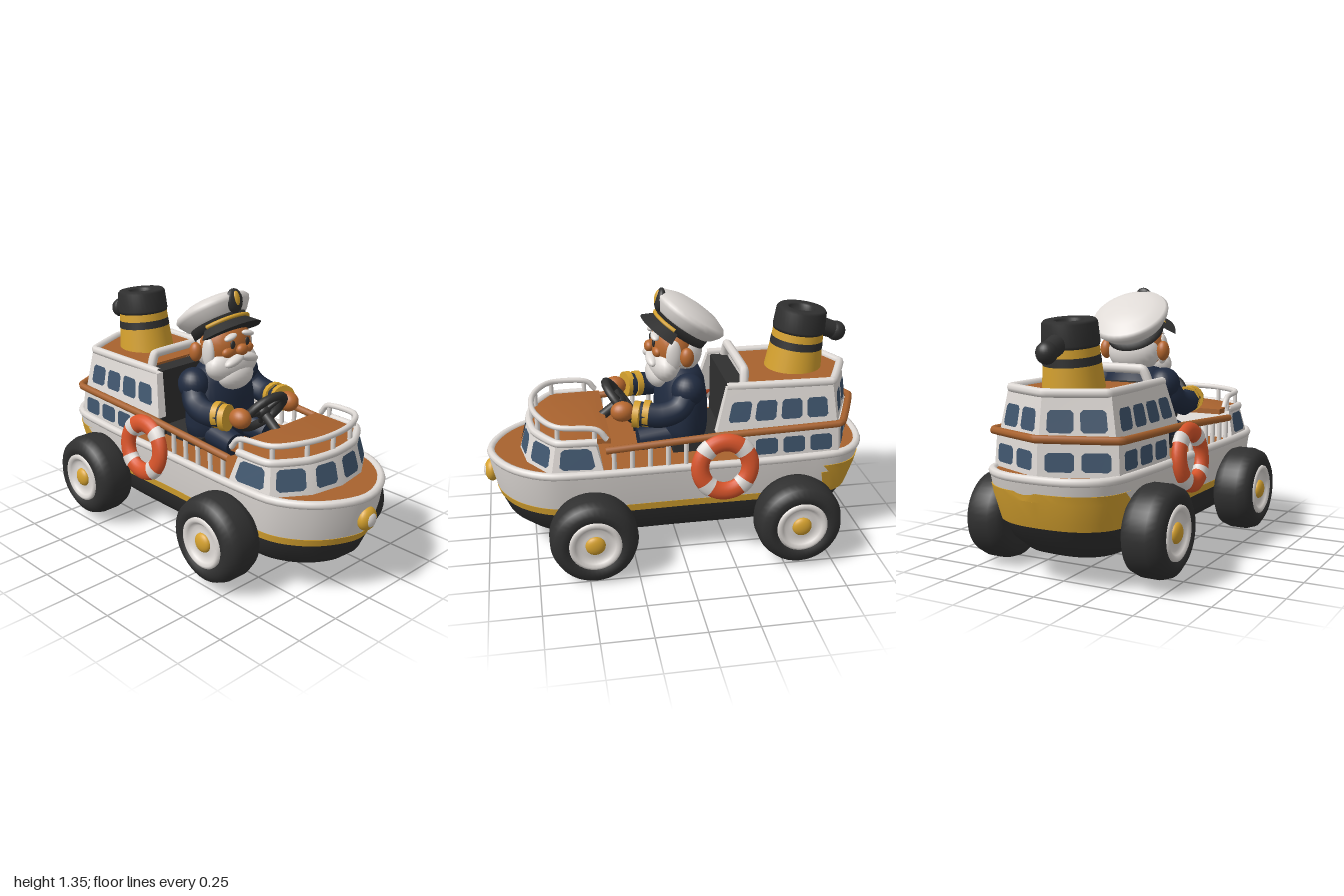
import * as THREE from 'three';
import { toCreasedNormals } from 'three/addons/utils/BufferGeometryUtils.js';

const mat = (name, color, side = THREE.FrontSide) => {
  const m = new THREE.MeshStandardMaterial({ color, side });
  m.name = name;
  return m;
};
const white = mat('white paint', 0xdfdad6), black = mat('black rubber', 0x303030), gold = mat('gold', 0xd6a22f);
const wood = mat('wood', 0xa8622e), navy = mat('navy cloth', 0x202b40), skin = mat('skin', 0xb9692f);
const orange = mat('orange', 0xd9552b), glass = mat('window blue', 0x40566e, THREE.DoubleSide);
const V = (x, y, z) => new THREE.Vector3(x, y, z);

function add(parent, name, geo, material, x = 0, y = 0, z = 0) {
  const m = new THREE.Mesh(geo, material);
  m.name = name;
  m.position.set(x, y, z);
  parent.add(m);
  return m;
}
function ball(parent, name, material, p, s) {
  const m = add(parent, name, new THREE.SphereGeometry(1, 24, 16), material, ...p);
  m.scale.set(...s);
  return m;
}
const lathe = (pts, seg = 36) => new THREE.LatheGeometry(pts.map(p => new THREE.Vector2(...p)), seg);
function rod(parent, name, material, a, b, r, r2 = r) {
  const d = b.clone().sub(a);
  const m = add(parent, name, new THREE.CylinderGeometry(r2, r, d.length(), 16), material);
  m.position.copy(a).addScaledVector(d, 0.5);
  m.quaternion.setFromUnitVectors(V(0, 1, 0), d.normalize());
  return m;
}
function tube(parent, name, material, pts, r, closed = false, tension = 0.5) {
  const curve = new THREE.CatmullRomCurve3(pts, closed, 'catmullrom', tension);
  return add(parent, name, new THREE.TubeGeometry(curve, 96, r, 8, closed), material);
}
// Full plan outline [x, z] from its +z half
const mirror = half => half.concat(half.filter(p => p[1] !== 0).reverse().map(([x, z]) => [x, -z]));
const ring = (plan, y) => plan.map(([x, z]) => V(x, y, z));

// Closed skin through matching horizontal rings
function loft(rings, crease = 0.5) {
  const n = rings[0].length, pos = [], idx = [];
  rings.forEach(r => r.forEach(p => pos.push(p.x, p.y, p.z)));
  for (let k = 0; k < rings.length - 1; k++)
    for (let i = 0; i < n; i++) {
      const a = k * n + i, b = k * n + (i + 1) % n;
      idx.push(a, b, b + n, a, b + n, a + n);
    }
  const cap = r => THREE.ShapeUtils.triangulateShape(r.map(p => new THREE.Vector2(p.x, -p.z)), []);
  const top = (rings.length - 1) * n;
  cap(rings[0]).forEach(([a, b, c]) => idx.push(a, c, b));
  cap(rings[rings.length - 1]).forEach(([a, b, c]) => idx.push(top + a, top + b, top + c));
  const g = new THREE.BufferGeometry();
  g.setAttribute('position', new THREE.Float32BufferAttribute(pos, 3));
  g.setIndex(idx);
  return toCreasedNormals(g, crease);
}
// Evenly spaced window panes on each wall between two rings
function windows(parent, low, high, counts, v0, v1) {
  counts.forEach((count, e) => {
    const a = low[e], b = low[(e + 1) % low.length], c = high[e], d = high[(e + 1) % low.length];
    const out = b.clone().sub(a).cross(c.clone().sub(a)).normalize().multiplyScalar(0.006);
    const at = (u, v) => a.clone().lerp(b, u).lerp(c.clone().lerp(d, u), v).add(out);
    for (let k = 0; k < count; k++) {
      const s = 0.9 / count, u0 = 0.05 + s * (k + 0.1), u1 = 0.05 + s * (k + 0.9);
      const du = (u1 - u0) * 0.12, dv = (v1 - v0) * 0.14;
      const p = [[u0 + du, v0], [u1 - du, v0], [u1, v0 + dv], [u1, v1 - dv],
        [u1 - du, v1], [u0 + du, v1], [u0, v1 - dv], [u0, v0 + dv]].map(q => at(...q));
      const g = new THREE.BufferGeometry().setFromPoints(p);
      g.setIndex([0, 1, 2, 0, 2, 3, 0, 3, 4, 0, 4, 5, 0, 5, 6, 0, 6, 7]);
      g.computeVertexNormals();
      add(parent, 'window', g, glass);
    }
  });
}

function buildHull(g) {
  const half = [[-1, 0], [-0.97, 0.2], [-0.87, 0.32], [-0.6, 0.36], [0, 0.37], [0.5, 0.375],
    [0.7, 0.355], [0.85, 0.26], [0.94, 0.13], [0.975, 0]];
  const curve = new THREE.CatmullRomCurve3(ring(mirror(half), 0), true);
  const plan = curve.getPoints(120).slice(0, -1);
  const level = (y, front, back, sz, grow = 1) =>
    plan.map(p => V(p.x * (p.x > 0 ? front / 0.975 : back) * grow, y, p.z * sz * grow));
  const keel = [[0.135, 0.77, 0.77, 0.62], [0.15, 0.81, 0.81, 0.7], [0.21, 0.88, 0.875, 0.84], [0.3, 0.92, 0.93, 0.91]];
  const stripe = [[0.3, 0.922, 0.932, 0.915], [0.338, 0.935, 0.945, 0.93]];
  const side = [[0.338, 0.932, 0.945, 0.925], [0.43, 0.955, 0.975, 0.97], [0.53, 0.97, 1, 1]];
  add(g, 'lower hull', loft(keel.map(l => level(...l))), black);
  add(g, 'hull stripe', loft(stripe.map(l => level(...l))), gold);
  add(g, 'upper hull', loft(side.map(l => level(...l))), white);
  const stern = [[0.3, 0.92, 0.932, 0.92], [0.338, 0.93, 0.946, 0.932], [0.43, 0.95, 0.975, 0.972], [0.47, 0.96, 0.984, 0.984]];
  add(g, 'stern panel', loft(stern.map(l => level(...l, 1.006).filter(p => p.x < -0.72))), gold);
  add(g, 'deck', loft([level(0.52, 0.95, 0.97, 0.96), level(0.537, 0.95, 0.97, 0.96)]), wood);
  tube(g, 'gunwale', white, level(0.53, 0.955, 0.985, 0.97), 0.021, true);
  // Bow lamp
  ball(g, 'lamp rim', gold, [0.957, 0.42, 0], [0.038, 0.06, 0.058]);
  ball(g, 'lamp lens', white, [0.972, 0.42, 0], [0.028, 0.042, 0.04]);
}

function buildCabins(g) {
  // Lower and upper rear deckhouse; the upper one has a niche for the seat
  const low = mirror([[-0.96, 0], [-0.81, 0.335], [-0.33, 0.345]]);
  const l0 = ring(low, 0.53), l1 = ring(low.map(([x, z]) => [x * 0.99, z * 0.97]), 0.69);
  add(g, 'lower deckhouse', loft([l0, l1]), white);
  windows(g, l0, l1, [2, 3, 0, 3, 2], 0.2, 0.74);
  const u0 = ring(mirror([[-0.945, 0], [-0.8, 0.315], [-0.17, 0.315], [-0.17, 0.265], [-0.35, 0.265]]), 0.68);
  const u1 = ring(mirror([[-0.91, 0], [-0.775, 0.275], [-0.23, 0.27], [-0.23, 0.23], [-0.35, 0.23]]), 0.9);
  add(g, 'upper deckhouse', loft([u0, u1]), white);
  windows(g, u0, u1, [2, 4, 0, 0, 0, 0, 0, 4, 2], 0.24, 0.7);
  const roof = mirror([[-0.9, 0], [-0.77, 0.26], [-0.35, 0.25]]);
  add(g, 'rear roof', loft([ring(roof, 0.885), ring(roof, 0.906)]), wood);
  const rim = [[-0.23, 0.252], [-0.775, 0.262], [-0.9, 0]];
  tube(g, 'roof rim', white, ring(rim.concat(rim.slice(0, 2).reverse().map(([x, z]) => [x, -z])), 0.905), 0.022, false, 0.05);
  // Seat
  add(g, 'seat back', new THREE.BoxGeometry(0.09, 0.36, 0.46), black, -0.29, 0.72, 0);
  add(g, 'seat cushion', new THREE.BoxGeometry(0.3, 0.06, 0.4), black, -0.12, 0.565, 0);
  tube(g, 'seat arch', white, [V(-0.32, 0.86, 0.24), V(-0.33, 0.97, 0.195), V(-0.33, 0.97, -0.195), V(-0.32, 0.86, -0.24)], 0.024, false, 0.1);

  // Front cabin
  const f0 = ring(mirror([[0.4, 0.37], [0.66, 0.35], [0.775, 0.18], [0.805, 0]]), 0.53);
  const f1 = ring(mirror([[0.44, 0.33], [0.63, 0.315], [0.735, 0.16], [0.76, 0]]), 0.69);
  add(g, 'front cabin', loft([f0, f1]), white);
  windows(g, f0, f1, [1, 1, 1, 1, 1, 1, 0], 0.18, 0.82);
  const fr = [[0.36, 0.31], [0.62, 0.3], [0.715, 0.155], [0.74, 0]];
  const shrink = k => mirror(fr.map(([x, z]) => [0.52 + (x - 0.52) * k, z * k]));
  add(g, 'front roof', loft([ring(shrink(1), 0.67), ring(shrink(1), 0.697), ring(shrink(0.6), 0.715)], 0.7), wood);
  tube(g, 'front roof rim', white, f1.map(p => p.clone().setX(p.x - 0.01)).slice(0, 7), 0.02, false, 0.3);
  const rail = mirror([[0.38, 0.325], [0.44, 0.32], [0.62, 0.295], [0.71, 0.155], [0.735, 0]]).map(([x, z]) =>
    V(x, x < 0.4 ? 0.7 : 0.725 + x * 0.07, z));
  tube(g, 'front railing', white, rail, 0.015);
  rail.slice(1, -1).forEach(p => rod(g, 'railing post', white, V(p.x, 0.68, p.z), p, 0.012));

  // Wooden handrail with posts
  const hr = [[0.39, 0.65, 0.35], [-0.2, 0.69, 0.355], [-0.81, 0.705, 0.345]];
  const path = hr.map(p => V(...p)).concat([V(-0.965, 0.71, 0)], hr.slice().reverse().map(([x, y, z]) => V(x, y, -z)));
  tube(g, 'handrail', wood, path, 0.019, false, 0.05);
  for (const s of [1, -1])
    for (let x = -0.1; x < 0.4; x += 0.09)
      rod(g, 'handrail post', white, V(x, 0.53, 0.35 * s), V(x, 0.676 - x * 0.068, 0.352 * s), 0.012);
}

function buildFunnel(g) {
  const f = new THREE.Group();
  f.name = 'funnel';
  f.position.set(-0.64, 0.89, 0);
  f.rotation.z = 0.11;
  g.add(f);
  const seg = (name, m, y0, y1, r0, r1) =>
    add(f, name, new THREE.CylinderGeometry(r1, r0, y1 - y0, 32), m, 0, (y0 + y1) / 2, 0);
  seg('funnel base', gold, 0, 0.13, 0.15, 0.136);
  seg('funnel band', black, 0.13, 0.17, 0.138, 0.134);
  seg('funnel upper band', gold, 0.17, 0.22, 0.134, 0.13);
  add(f, 'funnel cap', lathe([[0, 0.21], [0.132, 0.21], [0.136, 0.225], [0.13, 0.32], [0.12, 0.332],
    [0.075, 0.332], [0.065, 0.325], [0.06, 0.29], [0, 0.29]]), black);
  rod(f, 'whistle pipe', black, V(-0.1, 0.24, 0), V(-0.2, 0.215, 0), 0.05, 0.045);
  ball(f, 'whistle end', black, [-0.205, 0.213, 0], [0.05, 0.052, 0.05]);
}

function buildWheel(g, x, y, z) {
  const w = new THREE.Group();
  w.name = 'wheel';
  w.position.set(x, y, z);
  w.rotation.x = Math.sign(z) * Math.PI / 2;
  g.add(w);
  add(w, 'tyre', lathe([[0, -0.1], [0.12, -0.105], [0.17, -0.105], [0.205, -0.085], [0.22, -0.04], [0.22, 0.04],
    [0.205, 0.085], [0.17, 0.108], [0.135, 0.104], [0.12, 0.08], [0, 0.075]], 40), black);
  add(w, 'rim', lathe([[0.13, 0.085], [0.13, 0.104], [0.115, 0.112], [0.1, 0.1], [0.085, 0.085], [0.06, 0.09], [0, 0.092]]), white);
  ball(w, 'hub cap', gold, [0, 0.09, 0], [0.05, 0.026, 0.05]);
  add(w, 'axle', new THREE.CylinderGeometry(0.05, 0.05, 0.25, 16), black, 0, -0.17, 0);
}

function buildLifeRing(g, s) {
  const r = new THREE.Group();
  r.name = 'life ring';
  r.position.set(-0.2, 0.535, 0.395 * s);
  r.rotation.x = -0.12 * s;
  r.scale.z = 0.75;
  g.add(r);
  add(r, 'ring', new THREE.TorusGeometry(0.128, 0.046, 14, 40), orange);
  for (let k = 0; k < 4; k++)
    add(r, 'ring band', new THREE.TorusGeometry(0.128, 0.05, 14, 6, 0.36), white).rotation.z = Math.PI / 4 + k * Math.PI / 2 - 0.18;
}

function buildCaptain(g) {
  const c = new THREE.Group();
  c.name = 'captain';
  g.add(c);
  const torso = add(c, 'coat', lathe([[0, 0.55], [0.16, 0.55], [0.175, 0.65], [0.17, 0.78], [0.15, 0.88], [0.11, 0.95], [0, 0.98]]), navy, -0.04, 0, 0);
  torso.scale.set(0.8, 1, 1.22);
  ball(c, 'head', skin, [0, 1.06, 0], [0.115, 0.14, 0.145]);
  ball(c, 'hair', white, [-0.05, 1.03, 0], [0.1, 0.11, 0.14]);
  ball(c, 'beard', white, [0.045, 0.965, 0], [0.085, 0.095, 0.165]);
  ball(c, 'beard tip', white, [0.075, 0.91, 0], [0.068, 0.075, 0.11]);
  ball(c, 'nose', skin, [0.122, 1.055, 0], [0.026, 0.03, 0.036]);
  for (const s of [1, -1]) {
    ball(c, 'ear', skin, [-0.045, 1.04, 0.165 * s], [0.035, 0.05, 0.032]);
    ball(c, 'sideburn', white, [0.015, 1.04, 0.132 * s], [0.04, 0.08, 0.025]);
    ball(c, 'moustache', white, [0.118, 1.005, 0.05 * s], [0.03, 0.024, 0.065]).rotation.x = 0.3 * s;
    ball(c, 'cheek', skin, [0.09, 1.045, 0.065 * s], [0.025, 0.028, 0.04]);
    ball(c, 'eye', black, [0.106, 1.085, 0.05 * s], [0.008, 0.022, 0.015]);
    ball(c, 'eyebrow', white, [0.1, 1.125, 0.06 * s], [0.022, 0.015, 0.04]).rotation.x = 0.25 * s;
    ball(c, 'shoulder', navy, [-0.05, 0.87, 0.175 * s], [0.085, 0.085, 0.08]);
    tube(c, 'sleeve', navy, [V(-0.05, 0.87, 0.18 * s), V(0, 0.79, 0.21 * s), V(0.09, 0.76, 0.22 * s), V(0.2, 0.768, 0.2 * s)], 0.064);
    for (const x of [0.165, 0.215])
      rod(c, 'cuff stripe', gold, V(x - 0.015, 0.768, 0.209 * s), V(x + 0.015, 0.77, 0.199 * s), 0.068);
    ball(c, 'hand', skin, [0.285, 0.775, 0.172 * s], [0.06, 0.052, 0.05]);
    rod(c, 'leg', navy, V(-0.03, 0.61, 0.1 * s), V(0.2, 0.59, 0.12 * s), 0.075, 0.06);
  }
  // Cap, tipped back
  const h = new THREE.Group();
  h.name = 'cap';
  h.position.set(-0.035, 1.13, 0);
  h.rotation.z = 0.6;
  c.add(h);
  add(h, 'cap band', lathe([[0, -0.01], [0.147, -0.01], [0.152, 0.05], [0, 0.05]]), black);
  add(h, 'cap crown', lathe([[0.15, 0.035], [0.165, 0.045], [0.195, 0.085], [0.202, 0.105], [0.19, 0.122], [0.13, 0.147], [0.06, 0.158], [0, 0.16]]), white);
  const peak = new THREE.CylinderGeometry(0.14, 0.2, 0.055, 24, 1, false, 0.25, Math.PI - 0.5);
  add(h, 'cap peak', peak, black, 0.005, -0.02, 0);
  const rope = add(h, 'cap rope', new THREE.TorusGeometry(0.155, 0.01, 8, 32, 2.3), gold, 0, 0.01, 0);
  rope.rotation.set(Math.PI / 2, 0, -1.15, 'YXZ');
  rope.rotation.set(Math.PI / 2, 0, -1.15);
  ball(h, 'badge', black, [0.175, 0.08, 0], [0.026, 0.062, 0.052]).rotation.z = -0.4;
  ball(h, 'badge centre', gold, [0.192, 0.083, 0], [0.016, 0.04, 0.022]).rotation.z = -0.4;
}

function buildSteering(g) {
  const w = new THREE.Group();
  w.name = 'steering wheel';
  w.position.set(0.275, 0.76, 0);
  w.quaternion.setFromUnitVectors(V(0, 0, 1), V(-0.8, 0.6, 0));
  g.add(w);
  add(w, 'wheel ring', new THREE.TorusGeometry(0.125, 0.022, 10, 36), black);
  ball(w, 'wheel hub', black, [0, 0, 0], [0.04, 0.04, 0.03]);
  for (let k = 0; k < 3; k++) {
    const a = Math.PI * (0.5 + k * 2 / 3);
    rod(w, 'spoke', black, V(0, 0, 0), V(Math.cos(a) * 0.125, Math.sin(a) * 0.125, 0), 0.014);
  }
  rod(g, 'steering column', black, V(0.275, 0.76, 0), V(0.43, 0.64, 0), 0.025);
}

export function createModel() {
  const g = new THREE.Group();
  g.name = 'boat car';
  buildHull(g);
  buildCabins(g);
  buildFunnel(g);
  [[0.4, 0.27, 0.44], [-0.6, 0.265, 0.42], [0.47, 0.225, -0.435], [-0.57, 0.24, -0.45]].forEach(p => buildWheel(g, ...p));
  [1, -1].forEach(s => buildLifeRing(g, s));
  buildCaptain(g);
  buildSteering(g);
  return g;
}
